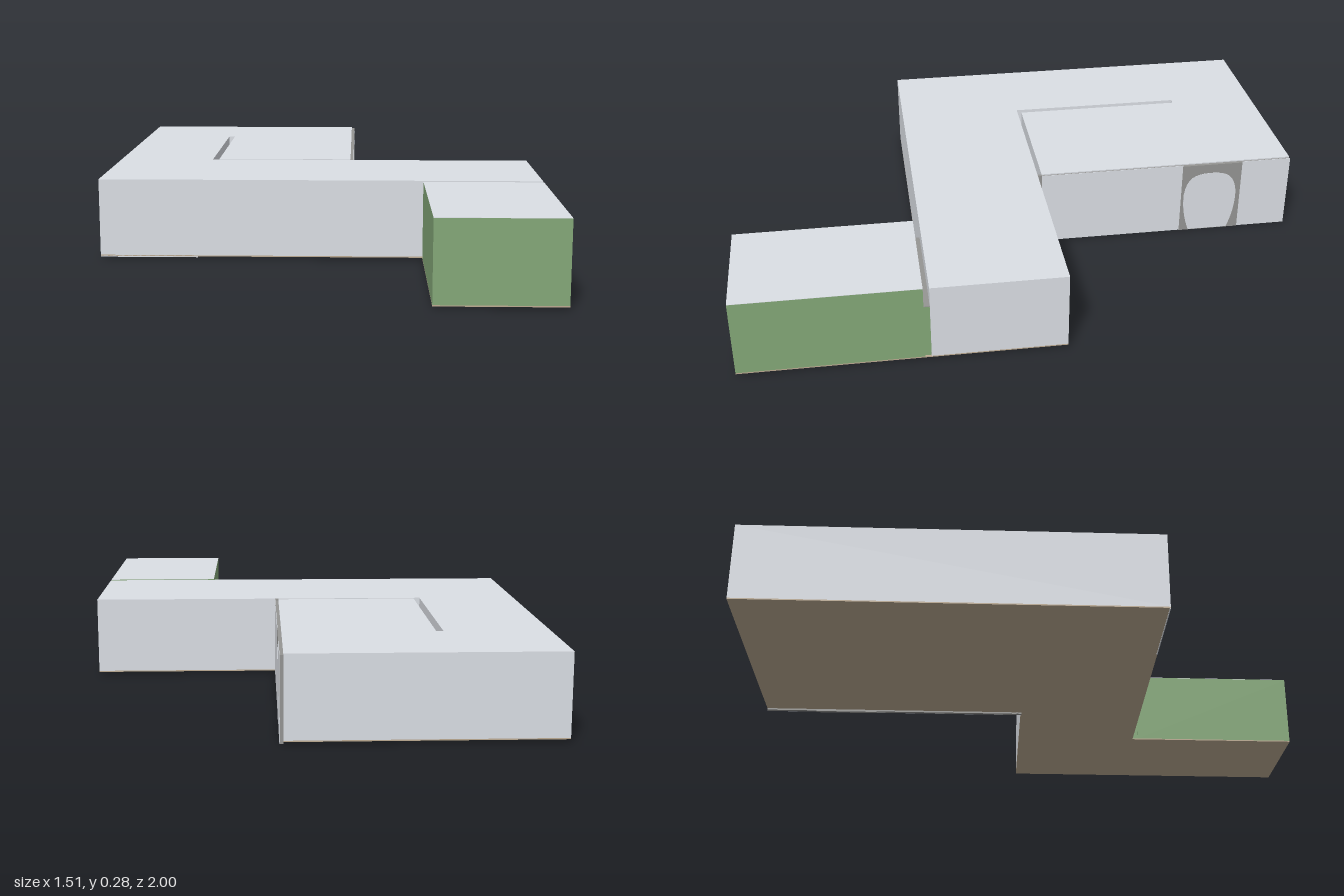
import * as THREE from 'three';

const mat = (name, color) => {
  const m = new THREE.MeshStandardMaterial({ color });
  m.name = name;
  return m;
};

export function createModel() {
  const group = new THREE.Group();
  const plaster = mat('pale grey plaster', 0xdbdfe5);
  const green = mat('green wall', 0x84a878);
  const stone = mat('dark grey stone', 0x959593);
  const brown = mat('brown floor', 0xbeac93);

  const FLOOR = 0.008, BASE = 0.012, SILL = 0.205, TOP = 0.275;

  const add = (name, geometry, material) => {
    const mesh = new THREE.Mesh(geometry, material);
    mesh.name = name;
    group.add(mesh);
  };
  // Box given by its limits on each axis
  const box = (name, [x0, x1], [y0, y1], [z0, z1], material) => {
    const g = new THREE.BoxGeometry(x1 - x0, y1 - y0, z1 - z0);
    g.translate((x0 + x1) / 2, (y0 + y1) / 2, (z0 + z1) / 2);
    add(name, g, material);
  };
  // Floor plan of [x, z] corners raised from y0 to y1
  const plan = (name, corners, y0, y1, material) => {
    const shape = new THREE.Shape(corners.map(([x, z]) => new THREE.Vector2(x, -z)));
    const g = new THREE.ExtrudeGeometry(shape, { depth: y1 - y0, bevelEnabled: false });
    g.rotateX(-Math.PI / 2).translate(0, y0, 0);
    add(name, g, material);
  };

  // Main rooms, with an L-shaped slot between them, and their floor
  const front = [[-0.754, 0.38], [0.752, 0.38], [0.752, -0.065], [0.1, -0.065]];
  const slot = [[-0.413, -0.065], [-0.413, -0.685], [-0.39, -0.685], [-0.39, -0.08], [0.1, -0.08]];
  const back = [[0.1, -1], [-0.754, -1]];
  plan('mainRooms', [...front, ...slot, ...back], BASE, TOP, plaster);
  plan('mainFloor', [...front, ...back], FLOOR, BASE, brown);

  // Stone partitions sunk in the slot
  box('partitionSide', [-0.413, -0.39], [BASE, SILL], [-0.685, -0.065], stone);
  box('partitionCross', [-0.39, 0.1], [BASE, SILL], [-0.08, -0.065], stone);
  box('partitionEnd', [0.099, 0.112], [0.002, TOP], [-0.08, -0.062], stone);

  // Front wing: green walls, pale roof, brown floor
  const wx = [0.348, 0.752], wz = [0.4, 1];
  box('wingWalls', wx, [BASE, TOP - 0.001], wz, green);
  box('wingRoof', wx, [TOP - 0.001, TOP], wz, plaster);
  box('wingFloor', wx, [FLOOR, BASE], [0.38, 1], brown);

  // Lower doorway link between wing and main rooms
  box('doorwayLink', [0.352, 0.746], [BASE, SILL], [0.38, 0.4], green);
  box('doorwayLinkTop', wx, [SILL, SILL + 0.002], [0.38, 0.4], stone);

  // Court wall: stone core with pale facing on either side of the arch panel
  box('courtWallCore', [0.1, 0.111], [0.002, TOP - 0.004], [-1, -0.08], stone);
  for (const z of [[-0.598, -0.08], [-1, -0.82]]) {
    box('courtWallFacing', [0.111, 0.1125], [0.002, TOP], z, plaster);
  }

  // Arched doorway: stone surround with a pale opening
  box('archSurround', [0.1, 0.112], [0, 0.271], [-0.82, -0.598], stone);
  const arch = new THREE.Shape();
  arch.moveTo(-0.073, 0);
  arch.lineTo(0.073, 0);
  arch.bezierCurveTo(0.092, 0.05, 0.1, 0.1, 0.098, 0.15);
  arch.bezierCurveTo(0.09, 0.215, 0.065, 0.235, 0, 0.235);
  arch.bezierCurveTo(-0.065, 0.235, -0.09, 0.215, -0.098, 0.15);
  arch.bezierCurveTo(-0.1, 0.1, -0.092, 0.05, -0.073, 0);
  const opening = new THREE.ExtrudeGeometry(arch, { depth: 0.002, bevelEnabled: false, curveSegments: 8 });
  opening.rotateY(Math.PI / 2).translate(0.111, 0.002, -0.706);
  add('archOpening', opening, plaster);

  // Thin skirting under the front wall
  box('skirting', [-0.754, -0.42], [0.005, BASE], [0.377, 0.38], plaster);

  return group;
}
